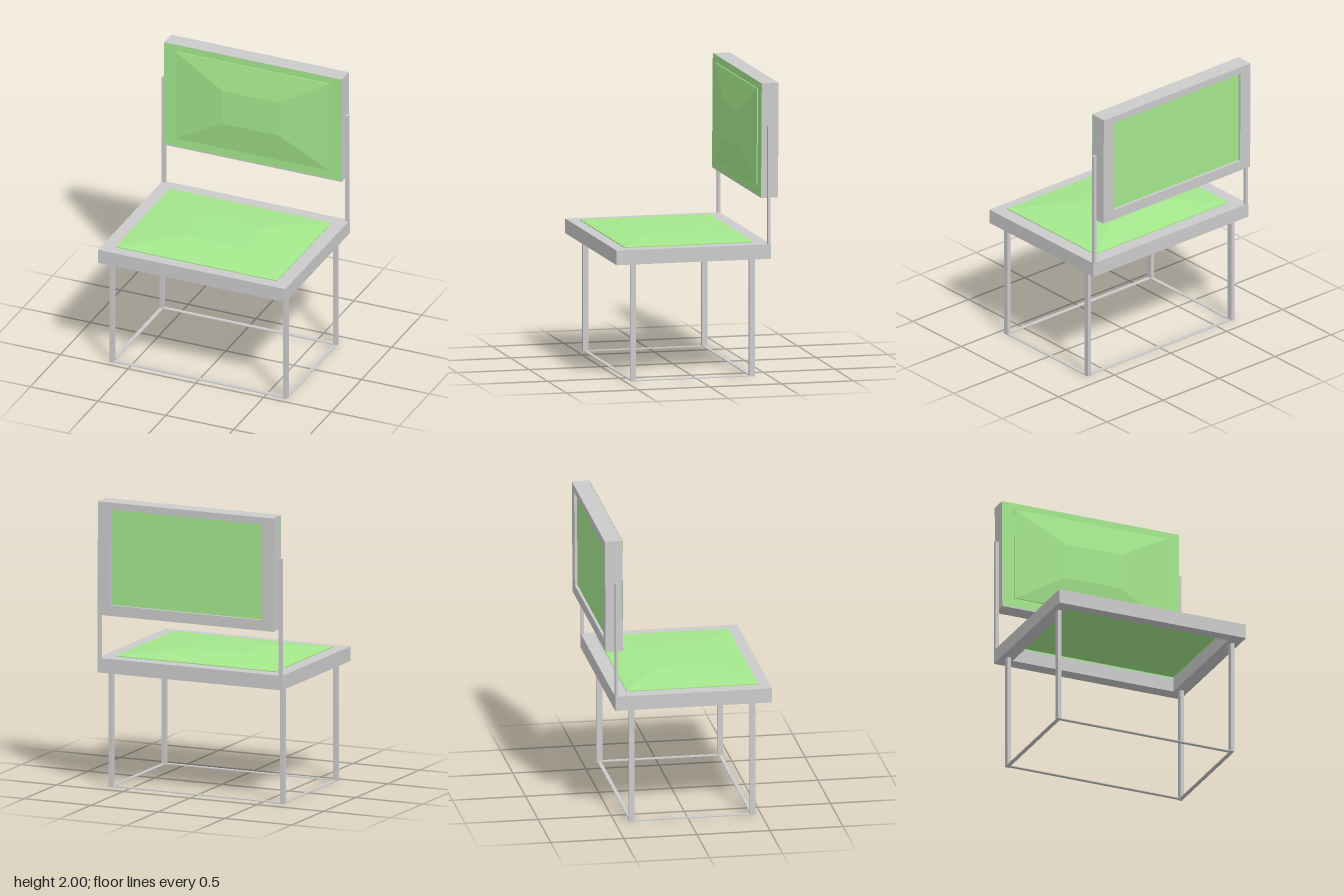
import * as THREE from 'three';

const grey = new THREE.MeshStandardMaterial({ color: 0xcccccc, flatShading: true });
const green = new THREE.MeshStandardMaterial({ color: 0xa5e88d, flatShading: true, side: THREE.DoubleSide });

function add(parent, name, geometry, material, x = 0, y = 0, z = 0) {
  const mesh = new THREE.Mesh(geometry, material);
  mesh.name = name;
  mesh.position.set(x, y, z);
  parent.add(mesh);
  return mesh;
}

const box = (w, h, d) => new THREE.BoxGeometry(w, h, d);

// Rectangle with a rectangular hole, extruded along +z
function frame(w, h, holeW, holeH, depth, holeY = 0) {
  const rect = (C, a, b, y) => {
    const s = new C();
    s.moveTo(-a / 2, y - b / 2);
    s.lineTo(a / 2, y - b / 2);
    s.lineTo(a / 2, y + b / 2);
    s.lineTo(-a / 2, y + b / 2);
    s.closePath();
    return s;
  };
  const shape = rect(THREE.Shape, w, h, 0);
  shape.holes.push(rect(THREE.Path, holeW, holeH, holeY));
  return new THREE.ExtrudeGeometry(shape, { depth, bevelEnabled: false });
}

// Faceted pad shell, open behind: rings of [half width, half height, z], closed by a flat top
function pad(rings) {
  const pos = [], idx = [];
  for (const [a, b, z] of rings) pos.push(-a, -b, z, a, -b, z, a, b, z, -a, b, z);
  for (let r = 0; r < rings.length - 1; r++) {
    for (let i = 0; i < 4; i++) {
      const p = r * 4 + i, q = r * 4 + (i + 1) % 4;
      idx.push(p, q, q + 4, p, q + 4, p + 4);
    }
  }
  const t = (rings.length - 1) * 4;
  idx.push(t, t + 1, t + 2, t, t + 2, t + 3);
  const g = new THREE.BufferGeometry();
  g.setAttribute('position', new THREE.Float32BufferAttribute(pos, 3));
  g.setIndex(idx);
  const flat = g.toNonIndexed();
  flat.computeVertexNormals();
  return flat;
}

export function createModel() {
  const chair = new THREE.Group();
  chair.name = 'chair';

  // Seat: open frame with a shallow faceted cushion
  const seat = new THREE.Group();
  seat.name = 'seat';
  seat.position.set(0, 0.805, 0.032);
  seat.rotation.x = -Math.PI / 2;
  chair.add(seat);
  add(seat, 'seatFrame', frame(1.38, 1.074, 1.19, 0.9, 0.1, -0.008), grey);
  add(seat, 'seatCushion', pad([[0.595, 0.45, 0.095], [0.595, 0.45, 0.106], [0.22, 0.17, 0.138]]),
    green, 0, -0.008, 0);

  // Backrest: deep frame, green front, raised cushion and recessed rear panel
  const back = new THREE.Group();
  back.name = 'backrest';
  back.position.set(0, 1.608, -0.508);
  back.rotation.x = 0.007 * -1;
  chair.add(back);
  add(back, 'backFrame', frame(1.31, 0.782, 1.13, 0.66, 0.118, 0.012), grey, 0, 0, -0.059);
  add(back, 'backFront', new THREE.PlaneGeometry(1.31, 0.772), green, 0, 0.005, 0.061);
  add(back, 'backCushion', pad([[0.565, 0.33, 0.061], [0.565, 0.33, 0.068], [0.21, 0.125, 0.102]]),
    green, 0, 0.012, 0);
  add(back, 'backRearPanel', new THREE.PlaneGeometry(1.13, 0.66), green, 0, 0.012, -0.04);

  for (const s of [-1, 1]) {
    const side = s > 0 ? 'left' : 'right';
    // Thin post holding the backrest
    add(chair, side + 'BackPost', box(0.026, 0.81, 0.02), grey, s * 0.676, 1.305, -0.495);
    // Legs
    for (const [end, z] of [['Front', 0.442], ['Back', -0.385]]) {
      add(chair, side + end + 'Leg', box(0.026, 0.805, 0.038), grey, s * 0.64, 0.4025, z);
    }
    // Flat floor rail along the side
    add(chair, side + 'FloorRail', box(0.026, 0.006, 0.79), grey, s * 0.64, 0.003, 0.0285);
  }
  // Flat floor rails across the front and back
  add(chair, 'frontFloorRail', box(1.256, 0.006, 0.026), grey, 0, 0.003, 0.442);
  add(chair, 'backFloorRail', box(1.256, 0.006, 0.026), grey, 0, 0.003, -0.385);

  return chair;
}
